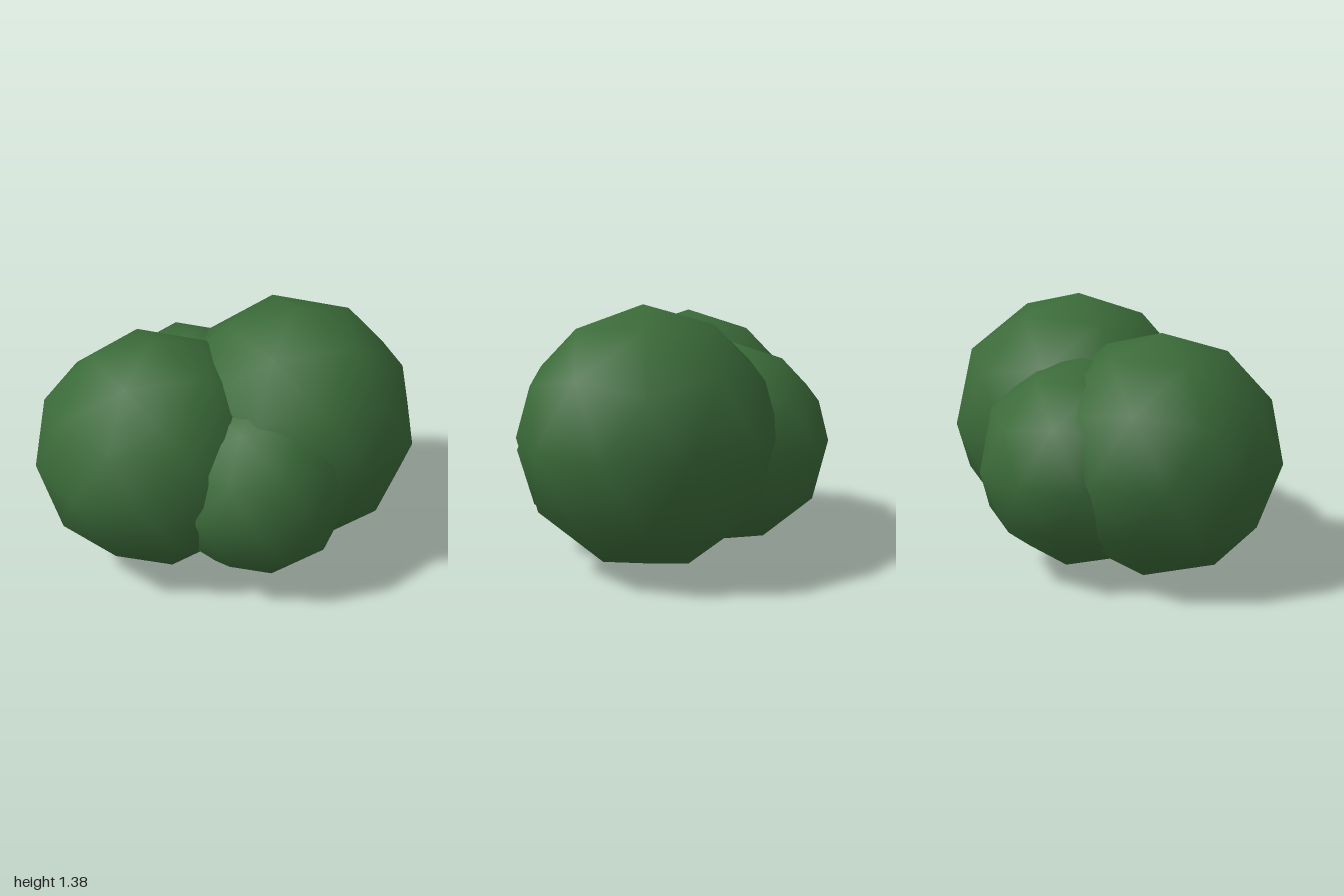
import * as THREE from 'three';

// Once-subdivided icosahedron standing on a vertex, with smooth normals
function icoSphere(radius) {
  const vertices = [0, 1, 0];
  const ring = (y, offset) => {
    for (let i = 0; i < 5; i++) {
      const a = ((i + offset) * Math.PI * 2) / 5;
      vertices.push(Math.cos(a) * 0.8944, y, Math.sin(a) * 0.8944);
    }
  };
  ring(0.4472, 0);
  ring(-0.4472, 0.5);
  vertices.push(0, -1, 0);

  const faces = [];
  for (let i = 0; i < 5; i++) {
    const n = (i + 1) % 5;
    const u = 1 + i, un = 1 + n, l = 6 + i, ln = 6 + n;
    faces.push(0, un, u, u, un, l, l, un, ln, 11, l, ln);
  }
  return new THREE.PolyhedronGeometry(vertices, faces, radius, 1);
}

// Swell the sphere a little towards one side
function swell(geometry, direction) {
  const pos = geometry.attributes.position;
  const v = new THREE.Vector3();
  for (let i = 0; i < pos.count; i++) {
    v.fromBufferAttribute(pos, i);
    const d = v.clone().normalize().dot(direction);
    v.multiplyScalar(1 + d);
    pos.setXYZ(i, v.x, v.y, v.z);
  }
  return geometry;
}

export function createModel() {
  const group = new THREE.Group();
  group.name = 'bush';
  const leafGreen = new THREE.MeshStandardMaterial({ color: 0x3b6b39 });
  leafGreen.name = 'leaf green';

  // Overlapping clumps of foliage: name, radius, centre, swelling
  const clumps = [
    ['largeLeftClump', 0.683, [0.32, 0.698, 0.17], [0.022, 0, -0.038]],
    ['rightClump', 0.64, [-0.39, 0.645, -0.1], [0, 0, 0]],
    ['smallFrontClump', 0.51, [-0.03, 0.555, 0.345], [0, 0, 0]],
    ['backClump', 0.553, [-0.035, 0.595, -0.3], [0, 0, 0]],
  ];
  for (const [name, radius, centre, lean] of clumps) {
    const geometry = swell(icoSphere(radius), new THREE.Vector3(...lean));
    const mesh = new THREE.Mesh(geometry, leafGreen);
    mesh.name = name;
    mesh.position.set(...centre);
    group.add(mesh);
  }
  return group;
}
